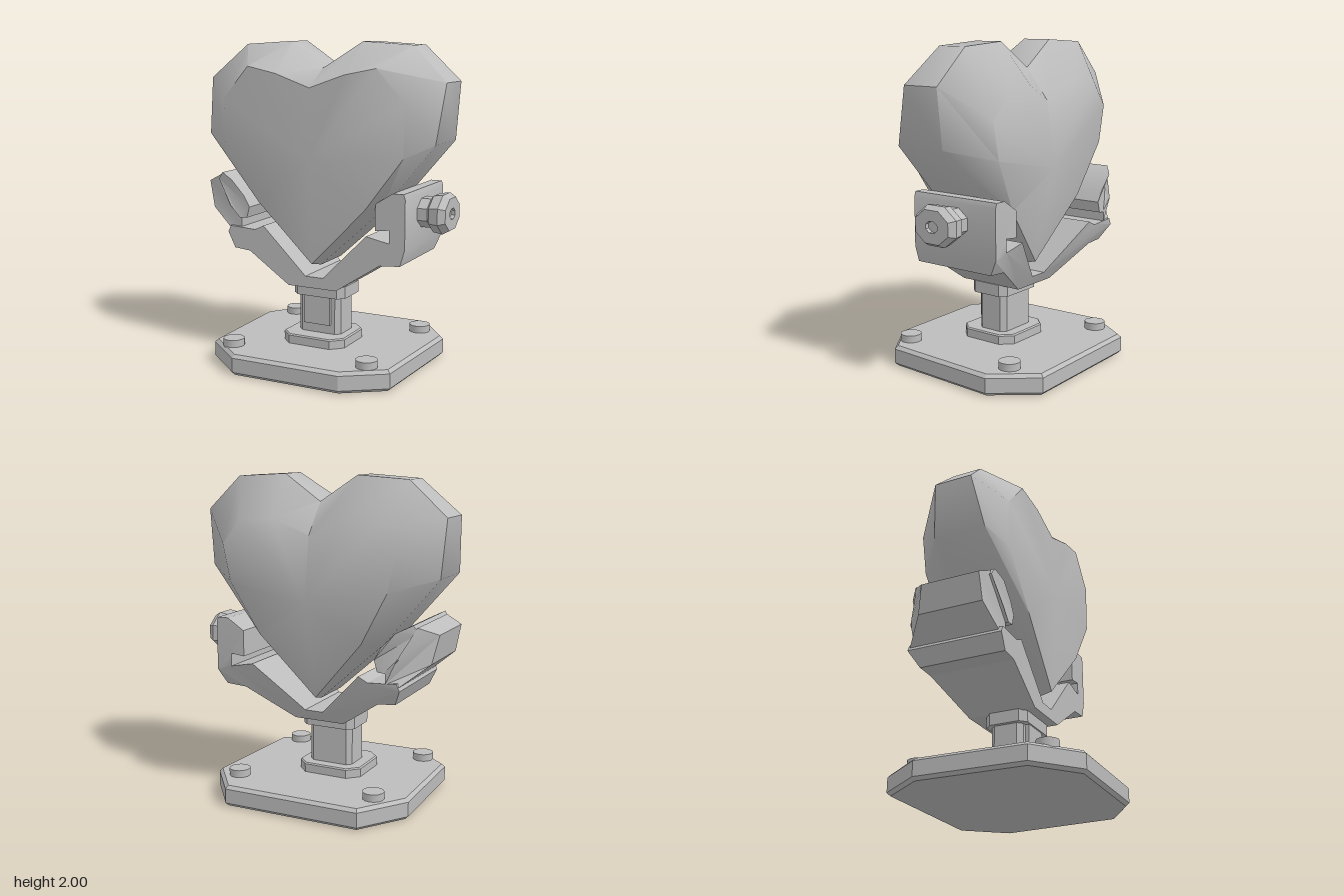
import * as THREE from 'three';
import { toCreasedNormals } from 'three/addons/utils/BufferGeometryUtils.js';

const grey = new THREE.MeshStandardMaterial({ color: 0xbcbcbc });
grey.name = 'plain grey';

function add(parent, name, geometry, crease = 0.45) {
  const mesh = new THREE.Mesh(toCreasedNormals(geometry, crease), grey);
  mesh.name = name;
  parent.add(mesh);
  return mesh;
}

const shapeOf = (pts) => new THREE.Shape(pts.map(([x, y]) => new THREE.Vector2(x, y)));

// Flat slab from a plan outline of [x, z] points, with bevelled rims
function slab(pts, y0, y1, bevel) {
  const g = new THREE.ExtrudeGeometry(shapeOf(pts.map(([x, z]) => [x, -z])), {
    depth: y1 - y0 - 2 * bevel, bevelEnabled: bevel > 0, bevelSize: bevel,
    bevelThickness: bevel, bevelOffset: -bevel, bevelSegments: 1,
  });
  return g.rotateX(-Math.PI / 2).translate(0, y0 + bevel, 0);
}

// Rectangle with cut corners, in plan
const cutRect = (x0, x1, z0, z1, c) => [
  [x0 + c, z0], [x1 - c, z0], [x1, z0 + c], [x1, z1 - c],
  [x1 - c, z1], [x0 + c, z1], [x0, z1 - c], [x0, z0 + c],
];

// Front profile run through z, with the back and front depth set by a rule
function profile(pts, back, front) {
  const g = new THREE.ExtrudeGeometry(shapeOf(pts), { depth: 1, bevelEnabled: false });
  const p = g.attributes.position;
  for (let i = 0; i < p.count; i++) {
    const x = p.getX(i), y = p.getY(i);
    p.setZ(i, p.getZ(i) > 0.5 ? front(x, y) : back(x, y));
  }
  return g;
}

// Closed heart body from four rings and two end centres
function heartGeometry() {
  const mirror = (half) => [...half, ...half.slice(1, -1).reverse().map(([x, y, z]) => [-x, y, z])];
  const outline = [[0, 0.63], [0.41, 1.0], [0.765, 1.42], [0.795, 1.77], [0.565, 1.98], [0.24, 2.0], [0, 1.84]];
  const at = (zs) => outline.map(([x, y], i) => [x, y, zs[i]]);
  const rings = [
    [[0, 0.65, -0.23], [0.34, 1.03, -0.31], [0.52, 1.35, -0.35], [0.57, 1.58, -0.35],
      [0.44, 1.73, -0.36], [0.22, 1.75, -0.35], [0, 1.65, -0.31]],
    at([-0.15, -0.15, -0.15, -0.14, -0.15, -0.15, -0.16]),
    at([0.12, 0.14, 0.18, 0.1, 0.04, 0.04, 0.1]),
    [[0, 0.66, 0.25], [0.36, 1.02, 0.27], [0.6, 1.34, 0.26], [0.61, 1.65, 0.26],
      [0.43, 1.85, 0.265], [0.23, 1.81, 0.275], [0, 1.73, 0.275]],
  ].map(mirror);
  const n = rings[0].length, verts = rings.flat(), index = [];
  verts.push([0, 1.25, -0.37], [0, 1.3, 0.29]);
  const backC = 4 * n, frontC = backC + 1;
  for (let i = 0; i < n; i++) {
    const j = (i + 1) % n;
    for (let k = 0; k < 3; k++) {
      const a = k * n + i, b = k * n + j;
      index.push(a, b, b + n, a, b + n, a + n);
    }
    index.push(backC, j, i, frontC, 3 * n + i, 3 * n + j);
  }
  const g = new THREE.BufferGeometry();
  g.setAttribute('position', new THREE.Float32BufferAttribute(verts.flat(), 3));
  g.setIndex(index);
  return g.toNonIndexed();
}

export function createModel() {
  const model = new THREE.Group();
  model.name = 'heartOnStand';

  // Base plate and its bolts
  const base = new THREE.Group();
  base.name = 'base';
  model.add(base);
  add(base, 'basePlate', slab([
    [-0.45, -0.59], [0.43, -0.6], [0.64, -0.34], [0.6, 0.41],
    [0.35, 0.585], [-0.36, 0.6], [-0.63, 0.38], [-0.65, -0.3],
  ], 0, 0.13, 0.02));
  for (const [x, z] of [[-0.46, 0.42], [0.45, 0.41], [0.46, -0.38], [-0.46, -0.38]]) {
    add(base, 'bolt', new THREE.CylinderGeometry(0.066, 0.066, 0.06, 14).translate(x, 0.145, z), 0.6);
  }

  // Post between base and cradle
  const post = new THREE.Group();
  post.name = 'post';
  model.add(post);
  add(post, 'footPlate', slab(cutRect(-0.24, 0.185, -0.155, 0.24, 0.07), 0.12, 0.19, 0.008));
  add(post, 'column', slab(cutRect(-0.165, 0.125, -0.08, 0.125, 0.03), 0.18, 0.44, 0));
  add(post, 'columnPanel', new THREE.BoxGeometry(0.18, 0.18, 0.04).translate(-0.02, 0.34, 0.13));
  add(post, 'collar', slab(cutRect(-0.19, 0.165, -0.11, 0.16, 0.04), 0.43, 0.505, 0));

  // Cradle: V-shaped arms, widening to the back as they rise
  const cradle = new THREE.Group();
  cradle.name = 'cradle';
  model.add(cradle);
  const armBack = (x, y) => -0.21 - 0.18 * THREE.MathUtils.clamp((y - 0.5) / 0.3, 0, 1);
  const armFront = () => 0.22;
  add(cradle, 'vArms', profile([
    [-0.18, 0.5], [0.15, 0.5], [0.44, 0.69], [0.57, 0.7], [0.6, 0.8], [0.6, 1.1], [0.59, 1.13],
    [0.52, 1.13], [0.41, 1.06], [0.41, 0.9], [0.5, 0.91], [0.5, 0.83], [0.35, 0.86], [0.06, 0.57],
    [-0.06, 0.57], [-0.36, 0.86], [-0.42, 0.83], [-0.6, 0.84], [-0.62, 0.8], [-0.57, 0.7], [-0.46, 0.69],
  ], armBack, armFront));

  // Open clamp on the other side, tapered toward its tip
  const tip = (x) => THREE.MathUtils.clamp((-x - 0.6) / 0.2, 0, 1);
  add(cradle, 'openClamp', profile([
    [-0.53, 0.83], [-0.53, 0.91], [-0.6, 0.98], [-0.69, 1.16],
    [-0.79, 1.11], [-0.755, 0.94], [-0.6, 0.81],
  ], (x) => -0.39 + 0.19 * tip(x), (x) => 0.2 - 0.04 * tip(x)));
  add(cradle, 'clampPad', profile([
    [-0.53, 0.895], [-0.48, 0.9], [-0.46, 0.97], [-0.5, 1.04],
    [-0.59, 1.135], [-0.67, 1.175], [-0.7, 1.13], [-0.6, 0.97],
  ], (x) => -0.39 + 0.19 * tip(x), (x) => 0.22 - 0.05 * tip(x)), 0.7);

  // Eight-sided clamp knob with a small socket
  const knobProfile = [
    [0, 0], [0.1, 0], [0.1, 0.07], [0.125, 0.09], [0.135, 0.15], [0.11, 0.19],
    [0.038, 0.19], [0.038, 0.165], [0, 0.165],
  ].map(([r, h]) => new THREE.Vector2(r, h));
  const knob = new THREE.LatheGeometry(knobProfile, 8, Math.PI / 8);
  knob.rotateZ(-Math.PI / 2).scale(1, 0.95, 1.2).translate(0.592, 0.985, -0.075);
  add(cradle, 'clampKnob', knob, 0.3);

  // Heart
  add(model, 'heart', heartGeometry(), 0.75);
  return model;
}
